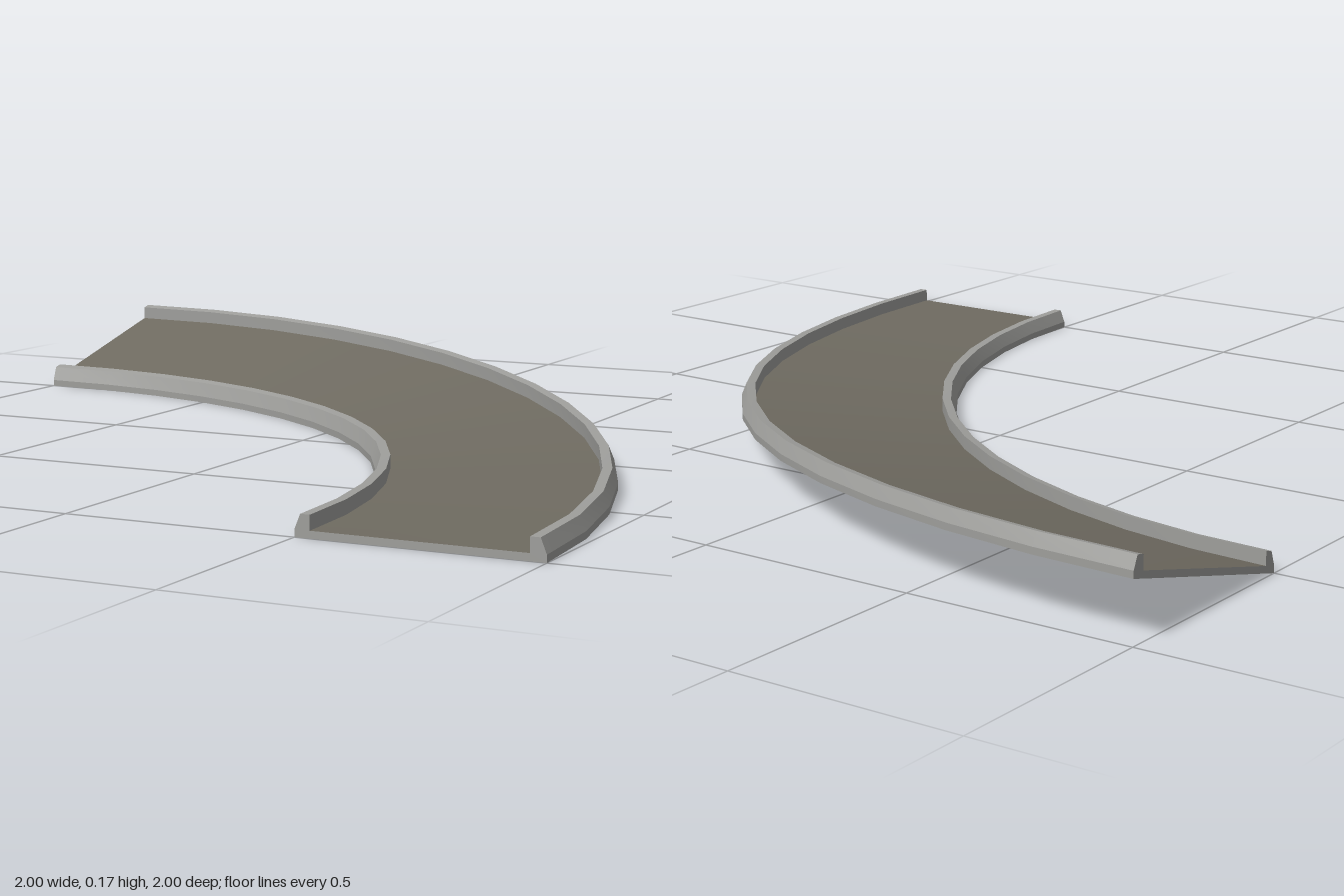
import * as THREE from 'three';
import { mergeGeometries } from 'three/addons/utils/BufferGeometryUtils.js';

const SEGMENTS = 14;
const INNER_RADIUS = 1.5;
const WIDTH = 0.5;
const BANK = 0.126; // rise of the outer edge at the banked end

// Cross-section: u across the track (inner to outer), h above the banked base
const innerKerb = [[0, 0], [0, 0.015], [0.012, 0.045], [0.032, 0.045], [0.032, 0.015]];
const outerKerb = innerKerb.map(([u, h]) => [WIDTH - u, h]).reverse();

// Point on the quarter turn; the bank grows smoothly along it
function place([u, h], t) {
  const a = t * Math.PI / 2, r = INNER_RADIUS + u;
  const lift = BANK * Math.sin(a) ** 2 * u / WIDTH;
  return [-1 + r * Math.cos(a), h + lift, 1 - r * Math.sin(a)];
}

function makeGeometry(points, index) {
  const g = new THREE.BufferGeometry();
  g.setAttribute('position', new THREE.Float32BufferAttribute(points.flat(), 3));
  g.setIndex(index);
  g.computeVertexNormals();
  return g;
}

// Surface swept by one edge of the cross-section, smooth along the curve
function strip(p, q) {
  const points = [], index = [];
  for (let i = 0; i <= SEGMENTS; i++) {
    points.push(place(p, i / SEGMENTS), place(q, i / SEGMENTS));
    if (i < SEGMENTS) {
      const k = i * 2;
      index.push(k, k + 1, k + 3, k, k + 3, k + 2);
    }
  }
  return makeGeometry(points, index);
}

const sweep = (profile) =>
  mergeGeometries(profile.slice(1).map((q, i) => strip(profile[i], q)));

// Flat end of the track at the start (t = 0) or finish (t = 1)
function endCap(t) {
  const outline = [...innerKerb, ...outerKerb].reverse();
  const faces = THREE.ShapeUtils.triangulateShape(
    outline.map(([u, h]) => new THREE.Vector2(u, h)), []);
  const index = faces.flatMap(([a, b, c]) => (t === 0 ? [a, b, c] : [a, c, b]));
  return makeGeometry(outline.map((p) => place(p, t)), index);
}

export function createModel() {
  const model = new THREE.Group();
  model.name = 'bankedCurve';
  const asphalt = new THREE.MeshStandardMaterial({ color: 0x6f6b61 });
  asphalt.name = 'asphalt';
  const concrete = new THREE.MeshStandardMaterial({ color: 0x9e9e9b });
  concrete.name = 'concrete';

  const add = (name, geometry, material) => {
    const mesh = new THREE.Mesh(geometry, material);
    mesh.name = name;
    model.add(mesh);
  };

  add('roadDeck', strip(innerKerb.at(-1), outerKerb[0]), asphalt);
  add('innerKerb', sweep(innerKerb), concrete);
  add('outerKerb', sweep(outerKerb), concrete);
  add('underside', strip(outerKerb.at(-1), innerKerb[0]), concrete);
  add('startEnd', endCap(0), concrete);
  add('bankedEnd', endCap(1), concrete);
  return model;
}
